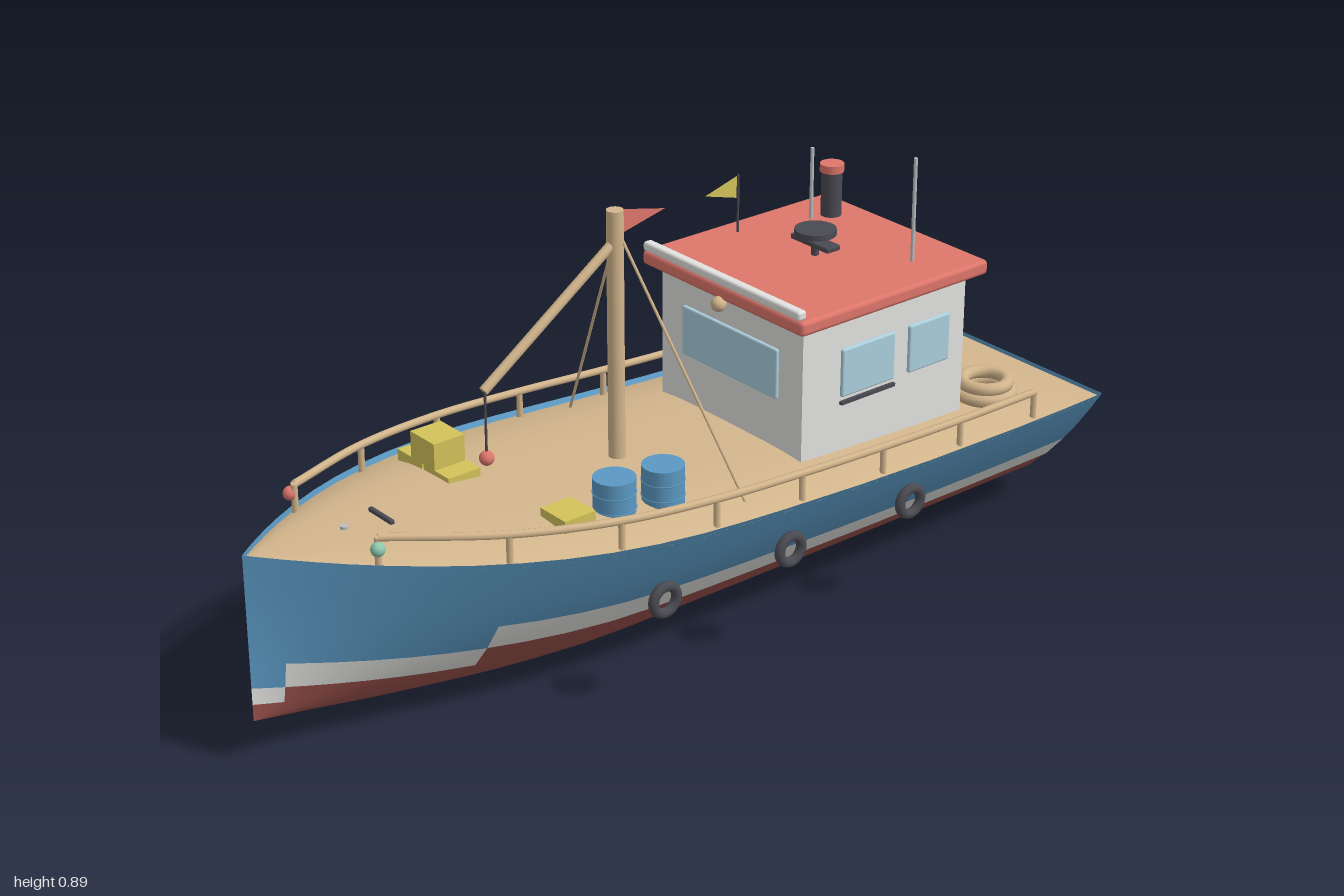
import * as THREE from 'three';
import { RoundedBoxGeometry } from 'three/addons/geometries/RoundedBoxGeometry.js';

const mat = (name, color, side = THREE.FrontSide) => {
  const m = new THREE.MeshStandardMaterial({ color, side });
  m.name = name;
  return m;
};

// Hull lines: half-width, sheer height and keel height along z
const STERN = -0.91;
const halfWidth = z => z > 0.1
  ? 0.334 * (1 - Math.pow((z - 0.1) / 0.9, 2.4))
  : 0.334 - 0.016 * Math.pow((0.1 - z) / 1.01, 2);
const sheer = z => 0.305 + 0.135 * Math.pow((z - STERN) / 1.91, 2);
const keel = z => z > 0.25 ? 0.095 * Math.pow((z - 0.25) / 0.75, 1.5) : 0;
const section = (z, t) => [halfWidth(z) * Math.pow(t, 0.6), keel(z) + (sheer(z) - keel(z)) * t];

const ROWS = [0, 0.015, 0.045, 0.1, 0.2, 0.354, 0.53, 0.68, 0.84, 1];
const STATIONS = [STERN, -0.8, -0.65, -0.4, -0.2, 0, 0.1, 0.2, 0.3, 0.4, 0.49, 0.57, 0.65,
  0.72, 0.79, 0.85, 0.9, 0.94, 0.97, 0.99, 1];

// Cambered deck height, flattening towards the stem and the transom
const deckHeight = (z, u) => {
  const rise = 0.033 * Math.min(1, halfWidth(z) / 0.25) * Math.min(1, (z - STERN) / 0.2);
  return section(z, 0.97)[1] + rise * (1 - u * u * u * u);
};

function meshGeometry(positions, index) {
  const g = new THREE.BufferGeometry();
  g.setAttribute('position', new THREE.Float32BufferAttribute(positions, 3));
  g.setIndex(index);
  g.computeVertexNormals();
  return g;
}

// One hull side; material groups 0 = bottom, 1 = waterline band, 2 = topsides
function hullSide(s) {
  const pos = [], bands = [[], [], []], n = ROWS.length;
  for (const z of STATIONS) for (const t of ROWS) {
    const [x, y] = section(z, t);
    pos.push(s * x, y, z);
  }
  for (let i = 0; i < STATIONS.length - 1; i++) {
    const z = STATIONS[i];
    const bandRow = z < 0.57 ? 5 : z < 0.94 ? 4 : 3;
    for (let j = 0; j < n - 1; j++) {
      const a = i * n + j, b = a + 1, c = a + n, d = c + 1;
      const tri = s > 0 ? [a, b, c, b, d, c] : [a, c, b, b, c, d];
      bands[j < bandRow ? 0 : j === bandRow ? 1 : 2].push(...tri);
    }
  }
  const g = meshGeometry(pos, bands.flat());
  let start = 0;
  bands.forEach((b, k) => { g.addGroup(start, b.length, k); start += b.length; });
  return g;
}

function deckGeometry() {
  const pos = [], idx = [], n = 13;
  STATIONS.forEach((z, i) => {
    const w = section(z, 0.97)[0];
    for (let j = 0; j < n; j++) {
      const u = j / (n - 1) * 2 - 1, b = i * n + j, a = b - n;
      pos.push(u * w, deckHeight(z, u), z);
      if (i && j < n - 1) idx.push(a, b, a + 1, a + 1, b, b + 1);
    }
  });
  return meshGeometry(pos, idx);
}

export function createModel() {
  const boat = new THREE.Group();
  boat.name = 'fishingBoat';
  const D = THREE.DoubleSide;
  const blue = mat('hull blue', 0x5b99c3, D), bottom = mat('bottom red', 0x98504a, D);
  const white = mat('off white', 0xe2e2e0, D), tan = mat('wood tan', 0xd2b58c, D);
  const red = mat('roof red', 0xde766b, D), glass = mat('window glass', 0xacd0de);
  const yellow = mat('crate yellow', 0xd4c35a, D), green = mat('tarp green', 0x8cc8ae);
  const dark = mat('dark rubber', 0x4a4a52), steel = mat('steel', 0xbcc0c2);

  const add = (name, geo, material, x = 0, y = 0, z = 0) => {
    const m = new THREE.Mesh(geo, material);
    m.name = name;
    m.position.set(x, y, z);
    boat.add(m);
    return m;
  };
  const box = (name, m, w, h, d, x, y, z) => add(name, new THREE.BoxGeometry(w, h, d), m, x, y, z);
  const softBox = (name, m, w, h, d, x, y, z) =>
    add(name, new RoundedBoxGeometry(w, h, d, 2, Math.min(w, h, d) * 0.3), m, x, y, z);
  const ball = (name, m, r, x, y, z) => add(name, new THREE.SphereGeometry(r, 16, 12), m, x, y, z);
  const disc = (name, m, r, y0, y1, x, z) =>
    add(name, new THREE.CylinderGeometry(r, r, y1 - y0, 24), m, x, (y0 + y1) / 2, z);
  const rod = (name, m, r, a, b) => {
    const p = new THREE.Vector3(...a), dir = new THREE.Vector3(...b).sub(p);
    const rodMesh = add(name, new THREE.CylinderGeometry(r, r, dir.length(), 10), m);
    rodMesh.position.copy(p).addScaledVector(dir, 0.5);
    rodMesh.quaternion.setFromUnitVectors(new THREE.Vector3(0, 1, 0), dir.normalize());
  };
  // Triangular flag in the yz plane, pointing along dz
  const pennant = (name, m, x, yTop, yLow, z, dz) =>
    add(name, meshGeometry([x, yTop, z, x, yLow, z, x, (yTop + yLow) / 2, z + dz], [0, 1, 2]), m);

  // Hull, transom, deck, rudder
  for (const s of [1, -1]) add(s > 0 ? 'hullLeft' : 'hullRight', hullSide(s), [bottom, white, blue]);
  const outline = ROWS.map(t => new THREE.Vector2(...section(STERN, t)));
  const mirrored = outline.slice(1).reverse().map(p => new THREE.Vector2(-p.x, p.y));
  add('transom', new THREE.ShapeGeometry(new THREE.Shape([...outline, ...mirrored])), blue, 0, 0, STERN)
    .rotation.y = Math.PI;
  add('deck', deckGeometry(), tan);
  box('rudder', tan, 0.016, 0.13, 0.09, 0, 0.185, -0.955);

  // Railings, navigation lamps, tyre fenders and mast stays on both sides
  const railZ = Array.from({ length: 8 }, (_, i) => 0.8 - i * 0.217);
  for (const s of [1, -1]) {
    const base = z => [s * (halfWidth(z) * 0.955 - 0.008), sheer(z) - 0.015, z];
    const tops = railZ.map(z => { const [x, y] = base(z); return new THREE.Vector3(x, y + 0.067, z); });
    add('handrail', new THREE.TubeGeometry(new THREE.CatmullRomCurve3(tops), 60, 0.008, 8), tan);
    railZ.forEach((z, i) => rod('railPost', tan, 0.0065, base(z), tops[i].toArray()));
    ball('navigationLamp', s > 0 ? green : red, 0.014, s * 0.144, 0.445, 0.805);
    for (const z of [0.284, -0.032, -0.353])
      add('tyreFender', new THREE.TorusGeometry(0.028, 0.0105, 10, 24), dark, s * 0.32, 0.233, z)
        .rotation.y = Math.PI / 2;
    rod('mastStay', tan, 0.003, [s * 0.01, 0.83, 0.135], [s * 0.28, 0.335, 0.045]);
  }

  // Mast, boom, hook and pennant
  disc('mast', tan, 0.017, 0.33, 0.888, 0, 0.143);
  rod('boom', tan, 0.01, [0, 0.825, 0.143], [0, 0.603, 0.46]);
  rod('hookLine', dark, 0.0025, [0, 0.603, 0.457], [0, 0.47, 0.457]);
  ball('hookBall', red, 0.015, 0, 0.463, 0.457);
  pennant('mastPennant', red, 0, 0.885, 0.835, 0.128, -0.108);

  // Wheelhouse
  box('cabin', white, 0.43, 0.32, 0.44, 0, 0.475, -0.37);
  softBox('roof', red, 0.49, 0.032, 0.505, 0, 0.645, -0.372);
  softBox('roofVisor', white, 0.475, 0.02, 0.022, 0, 0.672, -0.127);
  softBox('frontWindow', glass, 0.29, 0.108, 0.014, 0, 0.51, -0.15);
  for (const s of [1, -1]) {
    softBox('sideWindow', glass, 0.016, 0.104, 0.142, s * 0.214, 0.508, -0.322);
    softBox('sideWindow', glass, 0.016, 0.104, 0.112, s * 0.214, 0.508, -0.489);
    box('windowHandrail', dark, 0.014, 0.007, 0.145, s * 0.216, 0.444, -0.322);
  }
  box('door', tan, 0.115, 0.225, 0.014, 0, 0.435, -0.592);
  ball('doorKnob', dark, 0.005, -0.04, 0.435, -0.6);
  ball('searchLamp', tan, 0.016, 0, 0.622, -0.117);

  // Roof equipment
  disc('exhaustStack', dark, 0.022, 0.655, 0.76, -0.143, -0.547);
  disc('stackCap', red, 0.0255, 0.758, 0.775, -0.143, -0.547);
  disc('tallAntenna', steel, 0.004, 0.655, 0.882, 0.151, -0.5);
  disc('shortAntenna', steel, 0.004, 0.655, 0.817, -0.153, -0.5);
  disc('flagPole', dark, 0.0025, 0.655, 0.787, -0.192, -0.332);
  pennant('roofPennant', yellow, -0.192, 0.785, 0.737, -0.328, 0.085);
  disc('radarPedestal', dark, 0.008, 0.655, 0.715, 0, -0.373);
  softBox('radarBar', dark, 0.112, 0.012, 0.036, 0, 0.689, -0.373);
  disc('radarDome', dark, 0.043, 0.706, 0.718, 0, -0.373);

  // Deck cargo: barrels with hoops, crates, covered bundle, rope coil
  for (const [x, z] of [[0.2, 0.19], [0.183, 0.295]]) {
    disc('barrel', blue, 0.042, 0.34, 0.443, x, z);
    for (const y of [0.38, 0.412])
      add('barrelHoop', new THREE.TorusGeometry(0.042, 0.0015, 6, 24), blue, x, y, z).rotation.x = Math.PI / 2;
  }
  box('smallCrate', yellow, 0.076, 0.055, 0.072, 0.182, 0.382, 0.405);
  box('lowCrate', yellow, 0.082, 0.05, 0.075, -0.188, 0.386, 0.468);
  box('lowCrate', yellow, 0.082, 0.05, 0.075, -0.1, 0.386, 0.468);
  box('topCrate', yellow, 0.078, 0.056, 0.072, -0.143, 0.439, 0.47);
  add('coveredBundle', new THREE.SphereGeometry(1, 24, 16), green, -0.198, 0.35, -0.712).scale.set(0.088, 0.035, 0.072);
  for (const [R, y] of [[0.055, 0.338], [0.047, 0.36]])
    add('ropeCoil', new THREE.TorusGeometry(R, 0.014, 10, 28), tan, 0.198, y, -0.678).rotation.x = Math.PI / 2;

  // Foredeck cleat and bitt
  const foredeck = z => deckHeight(z, 0);
  softBox('cleat', dark, 0.075, 0.01, 0.01, 0, foredeck(0.7) + 0.003, 0.7);
  disc('bitt', steel, 0.008, foredeck(0.782) - 0.01, foredeck(0.782) + 0.006, 0, 0.782);

  return boat;
}
